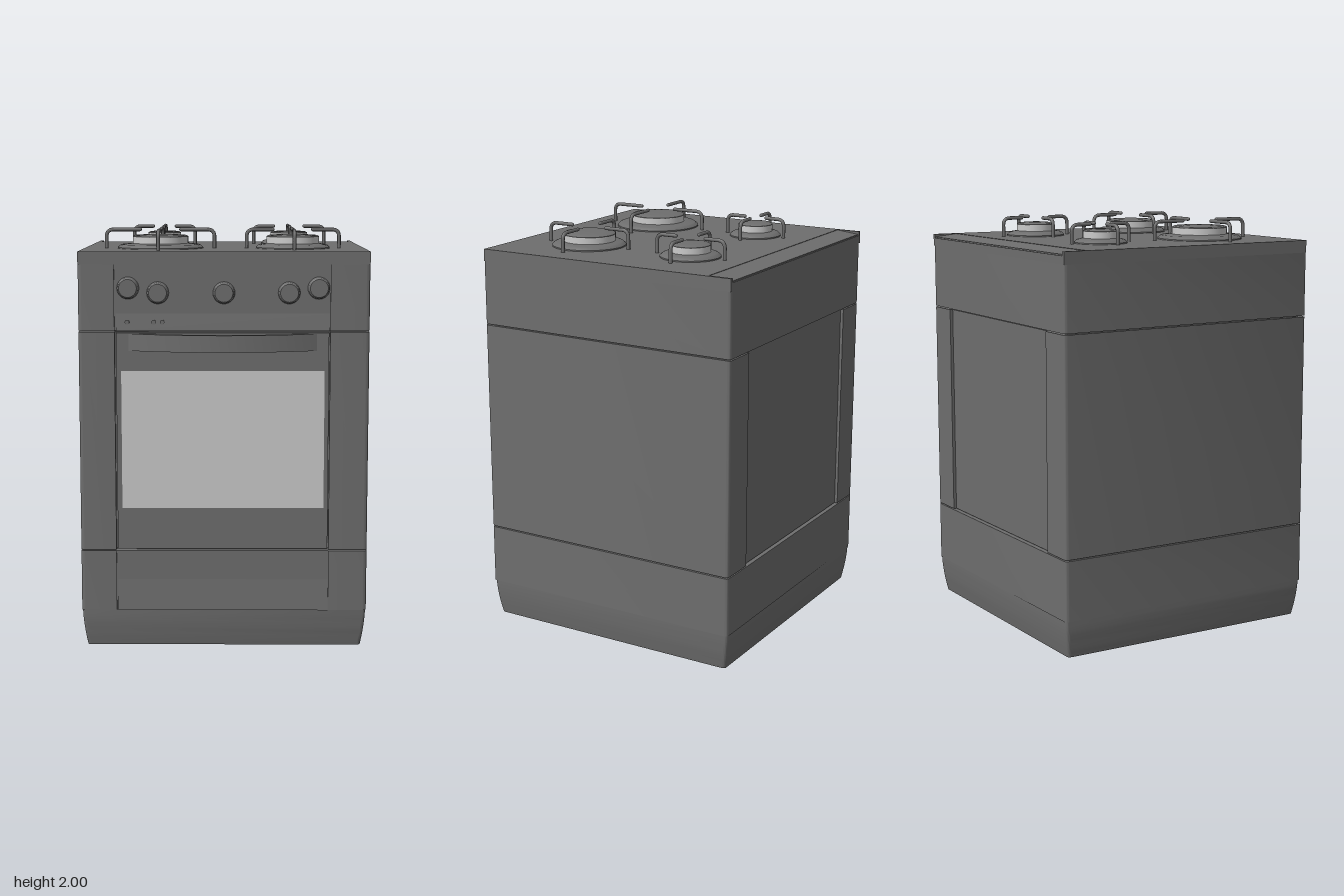
import * as THREE from 'three';
import { toCreasedNormals } from 'three/addons/utils/BufferGeometryUtils.js';

const dark = new THREE.MeshStandardMaterial({ color: 0x6e6e6e });
const light = new THREE.MeshStandardMaterial({ color: 0xcccccc });

const points = list => list.map(([a, b]) => new THREE.Vector2(a, b));

function add(parent, name, geometry, material = dark, x = 0, y = 0, z = 0) {
  const mesh = new THREE.Mesh(geometry, material);
  mesh.name = name;
  mesh.position.set(x, y, z);
  parent.add(mesh);
}

// Box given by its limits on each axis
function block(parent, name, [x0, x1], [y0, y1], [z0, z1], material) {
  add(parent, name, new THREE.BoxGeometry(x1 - x0, y1 - y0, z1 - z0), material,
    (x0 + x1) / 2, (y0 + y1) / 2, (z0 + z1) / 2);
}

// Plan outline with rounded corners and optional recesses in front and back
function footprint(w, front, back, frontInset, backInset) {
  const r = 0.018, s = new THREE.Shape();
  // shape y is -z, so that turning it flat keeps the front at +z
  s.moveTo(-w + r, -front);
  if (frontInset) {
    s.lineTo(-0.515, -front);
    s.lineTo(-0.515, -front + frontInset);
    s.lineTo(0.5, -front + frontInset);
    s.lineTo(0.5, -front);
  }
  s.lineTo(w - r, -front);
  s.quadraticCurveTo(w, -front, w, -front + r);
  s.lineTo(w, -back - r);
  s.quadraticCurveTo(w, -back, w - r, -back);
  if (backInset) {
    s.lineTo(0.505, -back);
    s.lineTo(0.505, -back - backInset);
    s.lineTo(-0.51, -back - backInset);
    s.lineTo(-0.51, -back);
  }
  s.lineTo(-w + r, -back);
  s.quadraticCurveTo(-w, -back, -w, -back - r);
  s.lineTo(-w, -front + r);
  s.quadraticCurveTo(-w, -front, -w + r, -front);
  return s;
}

// Upright prism on a plan outline, standing on its own y = 0
function prism(shape, height, steps = 1) {
  const g = new THREE.ExtrudeGeometry(shape, { depth: height, bevelEnabled: false, steps, curveSegments: 6 });
  return g.rotateX(-Math.PI / 2);
}

function tier(parent, name, y0, y1, shape) {
  add(parent, name, toCreasedNormals(prism(shape, y1 - y0), 0.6), dark, 0, y0, 0);
}

// Bar along x with a side profile given as [-z, y] points
function bar(parent, name, profile, x0, x1) {
  const g = new THREE.ExtrudeGeometry(new THREE.Shape(points(profile)), { depth: x1 - x0, bevelEnabled: false });
  add(parent, name, g.rotateY(Math.PI / 2), dark, x0, 0, 0);
}

function burner(parent, x, z, outer, inner, reach, armEnd) {
  const group = new THREE.Group();
  group.name = 'burner';
  group.position.set(x, 1.9, z);
  parent.add(group);
  const turned = profile => toCreasedNormals(new THREE.LatheGeometry(points(profile), 40), 0.5);
  add(group, 'burnerBase', turned([[outer, 0], [outer, 0.006], [outer - 0.012, 0.017],
    [outer - 0.02, 0.02], [inner, 0.025]]));
  add(group, 'burnerRing', new THREE.CylinderGeometry(inner, inner, 0.032, 40), light, 0, 0.04, 0);
  add(group, 'burnerCap', turned([[inner, 0.055], [inner, 0.059], [inner - 0.01, 0.064],
    [inner * 0.6, 0.067], [0.001, 0.068]]));

  // Four bent wire arms of the pan support
  const t = 0.009, r = 0.035, top = 0.1 - t;
  const v = (a, b) => new THREE.Vector3(a, b, 0);
  const path = new THREE.CurvePath();
  path.add(new THREE.LineCurve3(v(reach - t, 0), v(reach - t, top - r)));
  path.add(new THREE.QuadraticBezierCurve3(v(reach - t, top - r), v(reach - t, top), v(reach - t - r, top)));
  path.add(new THREE.LineCurve3(v(reach - t - r, top), v(armEnd, top)));
  const wire = new THREE.TubeGeometry(path, 28, t, 8);
  const tip = new THREE.SphereGeometry(t, 8, 6);
  for (let i = 0; i < 4; i++) {
    const arm = new THREE.Group();
    arm.name = 'panSupportArm';
    arm.rotation.y = i * Math.PI / 2;
    add(arm, 'armWire', wire);
    add(arm, 'armTip', tip, dark, armEnd, top, 0);
    group.add(arm);
  }
}

export function createModel() {
  const stove = new THREE.Group();
  stove.name = 'stove';

  // Plinth, curving inward toward the floor
  const plinth = prism(footprint(0.682, 0.634, -0.722, 0, 0), 0.18, 8);
  const p = plinth.attributes.position;
  for (let i = 0; i < p.count; i++) {
    const k = Math.max(0, 1 - p.getY(i) / 0.18) ** 1.6 * 0.022;
    p.setX(i, p.getX(i) * (1 - k / 0.682));
    p.setZ(i, -0.044 + (p.getZ(i) + 0.044) * (1 - k / 0.678));
  }
  add(stove, 'plinth', toCreasedNormals(plinth, 0.6));

  // Cabinet in three tiers, with a core showing in the thin joints
  block(stove, 'cabinetCore', [-0.67, 0.67], [0.1, 1.86], [-0.7, 0.6]);
  tier(stove, 'drawerTier', 0.18, 0.472, footprint(0.685, 0.64, -0.725, 0.007, 0));
  tier(stove, 'ovenTier', 0.478, 1.524, footprint(0.685, 0.64, -0.725, 0.03, 0.015));
  tier(stove, 'controlTier', 1.53, 1.84, footprint(0.685, 0.64, -0.725, 0.007, 0));

  // Strips across the front that lean outward toward their lower edge
  bar(stove, 'drawerGrip', [[-0.645, 0.18], [-0.633, 0.33], [-0.61, 0.33], [-0.61, 0.18]], -0.508, 0.498);
  bar(stove, 'controlStrip', [[-0.641, 1.53], [-0.633, 1.61], [-0.61, 1.61], [-0.61, 1.53]], -0.508, 0.498);

  // Oven door with its window
  block(stove, 'ovenDoor', [-0.508, 0.495], [0.482, 1.52], [0.6, 0.634]);
  block(stove, 'ovenWindow', [-0.485, 0.475], [0.68, 1.34], [0.62, 0.637], light);

  // Bowed door handle
  const bow = new THREE.Shape();
  bow.moveTo(-0.477, -0.62);
  bow.quadraticCurveTo(0, -0.83, 0.477, -0.62);
  bow.lineTo(0.43, -0.62);
  bow.quadraticCurveTo(0, -0.762, -0.43, -0.62);
  bow.closePath();
  const handle = new THREE.ExtrudeGeometry(bow, { depth: 0.08, bevelEnabled: false, curveSegments: 24 });
  handle.rotateX(-Math.PI / 2);
  add(stove, 'doorHandle', toCreasedNormals(handle, 0.4), dark, -0.006, 1.435, 0);

  // Control knobs and small buttons
  const knob = toCreasedNormals(new THREE.LatheGeometry(points([[0.052, 0], [0.052, 0.006], [0.047, 0.028],
    [0.042, 0.033], [0.001, 0.033]]), 28), 0.5).rotateX(Math.PI / 2);
  for (const [x, y] of [[-0.45, 1.73], [-0.31, 1.708], [0, 1.708], [0.306, 1.708], [0.445, 1.73]]) {
    add(stove, 'knob', knob, dark, x, y, 0.633);
    block(stove, 'knobGrip', [x - 0.007, x + 0.007], [y - 0.038, y + 0.038], [0.65, 0.669]);
  }
  const button = new THREE.CylinderGeometry(0.011, 0.011, 0.02, 14).rotateX(Math.PI / 2);
  for (const x of [-0.455, -0.33, -0.29]) add(stove, 'button', button, dark, x, 1.57, 0.634);

  // Cooktop with a sloped strip set in along the back
  block(stove, 'cooktop', [-0.685, 0.685], [1.84, 1.9], [-0.605, 0.635]);
  block(stove, 'cooktopBack', [-0.685, 0.685], [1.84, 1.88], [-0.725, -0.605]);
  for (const x of [-0.685, 0.67])
    block(stove, 'cooktopSideRim', [x, x + 0.015], [1.88, 1.9], [-0.725, -0.605]);
  bar(stove, 'backStrip', [[0.605, 1.87], [0.72, 1.87], [0.72, 1.886], [0.605, 1.898]], -0.67, 0.67);

  // Burners: x, z, base radius, cap radius, support reach, inner end of arms
  burner(stove, -0.315, -0.315, 0.128, 0.085, 0.168, 0.06);
  burner(stove, 0.335, -0.315, 0.146, 0.096, 0.193, 0.08);
  burner(stove, -0.312, 0.257, 0.209, 0.136, 0.273, 0.1);
  burner(stove, 0.335, 0.257, 0.181, 0.129, 0.235, 0.098);

  return stove;
}
